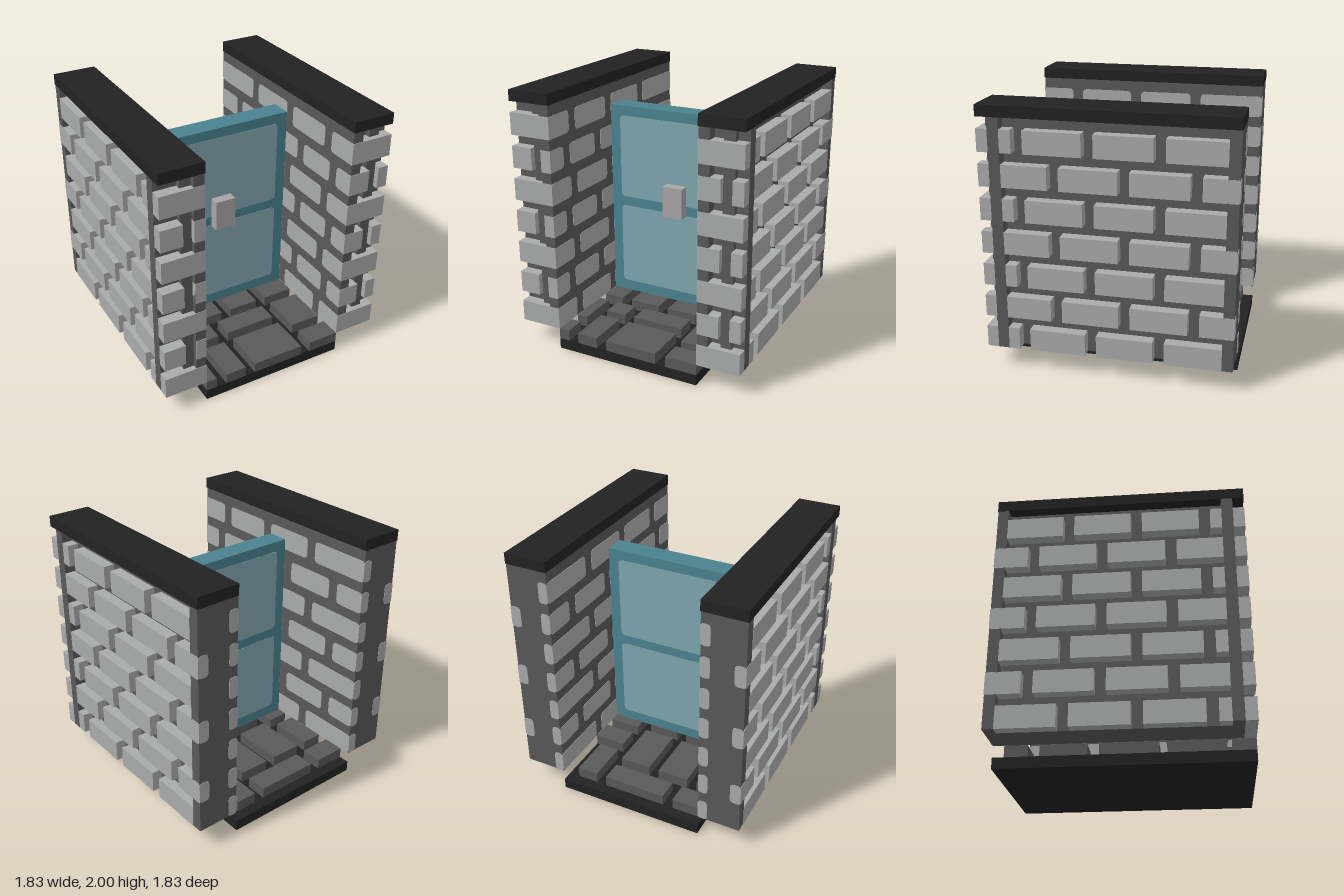
import * as THREE from 'three';

const U = 1 / 12; // one grid unit

export function createModel() {
  const mat = (name, color) => {
    const m = new THREE.MeshStandardMaterial({ color });
    m.name = name;
    return m;
  };
  const brick = mat('light stone', 0xa9abaa);
  const mortar = mat('dark stone', 0x595959);
  const black = mat('black trim', 0x222222);
  const teal = mat('teal door', 0x4a828f);
  const pale = mat('pale teal panel', 0x80a6af);
  const handleMat = mat('handle grey', 0xa8a5a5);

  const group = (name, parent) => {
    const g = new THREE.Group();
    g.name = name;
    if (parent) parent.add(g);
    return g;
  };

  // Box given by its extents in grid units
  const box = (parent, name, m, x0, x1, y0, y1, z0, z1) => {
    const mesh = new THREE.Mesh(
      new THREE.BoxGeometry(Math.abs(x1 - x0) * U, (y1 - y0) * U, Math.abs(z1 - z0) * U), m);
    mesh.position.set((x0 + x1) * U / 2, (y0 + y1) * U / 2, (z0 + z1) * U / 2);
    mesh.name = name;
    parent.add(mesh);
    return mesh;
  };

  // Thin plate with cut corners, facing +z before it is turned
  const plate = (parent, name, m, w, h, r, thick) => {
    const a = w * U / 2, b = h * U / 2, c = r * U;
    const s = new THREE.Shape();
    s.moveTo(-a + c, -b);
    s.lineTo(a - c, -b);
    s.quadraticCurveTo(a, -b, a, -b + c);
    s.lineTo(a, b - c);
    s.quadraticCurveTo(a, b, a - c, b);
    s.lineTo(-a + c, b);
    s.quadraticCurveTo(-a, b, -a, b - c);
    s.lineTo(-a, -b + c);
    s.quadraticCurveTo(-a, -b, -a + c, -b);
    const mesh = new THREE.Mesh(
      new THREE.ExtrudeGeometry(s, { depth: thick * U, bevelEnabled: false, curveSegments: 3 }), m);
    mesh.name = name;
    parent.add(mesh);
    return mesh;
  };

  const model = group('doorway');

  // Floor: black base with paving stones
  const floor = group('floor', model);
  box(floor, 'floorBase', black, -7, 7, 0, 1, -11, 11);
  const stones = [ // x0, x1, z0, z1
    [-7, -4, -10, -8], [-3, 3, -10, -8], [4, 6, -10, -6],
    [-7, -5, -7, -3], [-4, -1, -7, -2], [0, 3, -7, -2], [4, 7, -5, -3],
    [-7, -5, -2, 3], [-4, -1, -1, 3], [0, 3, -1, 3], [4, 7, -2, 3],
    [-7, -6, 4, 8], [-5, -3, 4, 6], [-2, 3, 4, 6], [4, 7, 4, 8],
    [-7, -6, 9, 11], [-5, -3, 7, 11], [-2, 3, 7, 11], [4, 7, 9, 11],
  ];
  for (const [x0, x1, z0, z1] of stones) box(floor, 'pavingStone', mortar, x0, x1, 1, 2, z0, z1);

  // Brick layouts along z for alternate rows
  const outer = [
    [[8, 9], [2, 7], [-4, 1], [-10, -5]],
    [[5, 9], [-1, 4], [-7, -2], [-10, -8]],
  ];
  const inner = [
    [[8, 10.5], [2, 7], [-4, 1], [-11, -5]],
    [[9, 10.5], [4, 8], [-1, 3], [-7, -2], [-11, -8]],
  ];

  for (const side of [1, -1]) {
    const wall = group(side > 0 ? 'leftWall' : 'rightWall', model);
    const wbox = (name, m, x0, x1, ...rest) => box(wall, name, m, side * x0, side * x1, ...rest);

    // Mortar body
    wbox('innerSlab', mortar, 7.04, 8, 2, 23, -10.96, 10.95);
    wbox('wallCore', mortar, 8, 10, 2, 23, -10, 10);
    wbox('backSlab', mortar, 8, 10.96, 2, 23, -10.96, -10);
    wbox('cornerPost', mortar, 10, 11, 2, 23, 9, 10);
    // The front joint sits at the same offset from the low-x side on both walls
    const joint = side > 0 ? [9, 10] : [8, 9];
    wbox('frontPost', mortar, joint[0], joint[1], 2, 23, 10, 10.5);
    wbox('wallCap', black, 7, 11, 23, 24, -11, 11);

    for (let row = 0; row < 7; row++) {
      const y0 = 2 + row * 3, y1 = y0 + 2, odd = row % 2;
      // Raised bricks on the outside
      for (const [z0, z1] of outer[odd]) wbox('outerBrick', brick, 10, 11, y0, y1, z0, z1);
      // Raised bricks on the front end
      const spans = odd ? [[7, joint[0]], [joint[1], 11]] : [[7, 11]];
      for (const [x0, x1] of spans) wbox('frontBrick', brick, x0, x1, y0, y1, 10, 11);
      // Flat bricks on the inner face
      for (const [z0, z1] of inner[odd]) {
        const p = plate(wall, 'innerBrick', brick, z1 - z0, 2, 0.4, 0.04);
        p.rotation.y = -side * Math.PI / 2;
        p.position.set(side * 7.04 * U, (y0 + 1) * U, (z0 + z1) * U / 2);
      }
      // Flat brick ends on the back face
      const ends = odd ? [[7, 7.9], [10, 11]] : [[7, 7.9]];
      for (const [x0, x1] of ends) {
        const p = plate(wall, 'backBrickEnd', brick, x1 - x0, 2, 0.35, 0.04);
        p.rotation.y = Math.PI;
        p.position.set(side * (x0 + x1) * U / 2, (y0 + 1) * U, -10.96 * U);
      }
      if (odd) {
        const p = plate(wall, 'backCornerBrick', brick, 1, 2, 0.2, 0.04);
        p.rotation.y = side * Math.PI / 2;
        p.position.set(side * 10.96 * U, (y0 + 1) * U, -10.5 * U);
      }
    }
  }

  // Door with two inset-look panels on each face and a front handle
  const door = group('door', model);
  box(door, 'doorSlab', teal, -7, 7, 2, 21, -1, 1);
  for (const face of [1, -1]) {
    for (const [y0, y1] of [[3.05, 11.05], [12, 20.05]]) {
      const p = plate(door, 'doorPanel', pale, 12, y1 - y0, 0.4, 0.04);
      p.rotation.y = face > 0 ? 0 : Math.PI;
      p.position.set(0, (y0 + y1) * U / 2, face * U);
    }
  }
  box(door, 'doorHandle', handleMat, -1, 1, 11, 14, 1, 2);

  return model;
}
